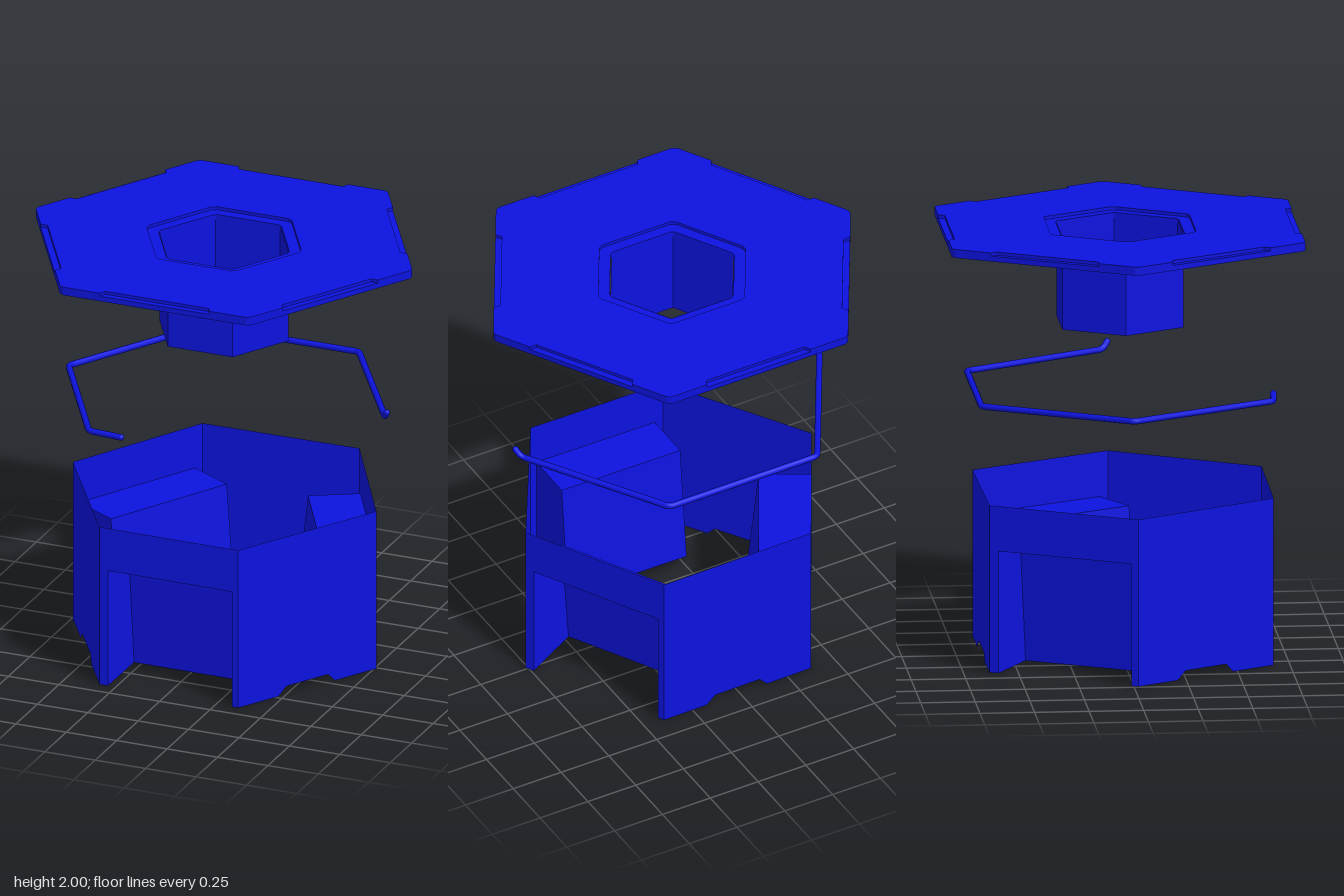
import * as THREE from 'three';

const material = new THREE.MeshStandardMaterial({ color: 0x0d13df, flatShading: true, side: THREE.DoubleSide });
const smoothMaterial = new THREE.MeshStandardMaterial({ color: 0x0d13df });

function addMesh(parent, name, geometry, mat = material) {
  const mesh = new THREE.Mesh(geometry, mat);
  mesh.name = name;
  parent.add(mesh);
  return mesh;
}

// Corner k of a hexagon with a corner on +x
function corner(radius, k) {
  const a = (k * Math.PI) / 3;
  return new THREE.Vector2(radius * Math.cos(a), radius * Math.sin(a));
}

// Hexagon outline with clipped corners and, optionally, a shallow notch in each edge
function hexPoints(radius, clip, notchInset = 0) {
  const points = [];
  for (let k = 0; k < 6; k++) {
    const a = corner(radius, k), b = corner(radius, k + 1);
    const inward = a.clone().add(b).normalize().multiplyScalar(-notchInset);
    const at = (f) => a.clone().lerp(b, f);
    points.push(at(clip));
    if (notchInset) {
      points.push(at(0.21), at(0.226).add(inward), at(0.774).add(inward), at(0.79));
    }
    points.push(at(1 - clip));
  }
  return points;
}

// Horizontal slab with a hexagonal hole, from y = bottom to y = top
function slab(outline, hole, bottom, top) {
  const shape = new THREE.Shape(outline);
  shape.holes.push(new THREE.Path(hole));
  const geometry = new THREE.ExtrudeGeometry(shape, { depth: top - bottom, bevelEnabled: false });
  return geometry.rotateX(-Math.PI / 2).translate(0, bottom, 0);
}

// Flat-sided surface from four-cornered faces
function quads(list) {
  const positions = list.flatMap(([a, b, c, d]) => [a, b, c, a, c, d].flatMap((p) => p.toArray()));
  const geometry = new THREE.BufferGeometry();
  geometry.setAttribute('position', new THREE.Float32BufferAttribute(positions, 3));
  geometry.computeVertexNormals();
  return geometry;
}

function createLid() {
  const lid = new THREE.Group();
  lid.name = 'lid';
  addMesh(lid, 'lidPlate', slab(hexPoints(0.935, 0.015), hexPoints(0.326, 0.04), 1.96, 1.985));
  addMesh(lid, 'lidTopLayer', slab(hexPoints(0.935, 0.015, 0.03), hexPoints(0.385, 0.04), 1.985, 2));
  const tube = new THREE.CylinderGeometry(0.321, 0.321, 0.435, 6, 1, true, Math.PI / 6);
  addMesh(lid, 'lidTube', tube.translate(0, 1.765, 0));
  return lid;
}

function createWire() {
  const wire = new THREE.Group();
  wire.name = 'wireRing';
  const y = 1.245, radius = 0.015;
  const points = [new THREE.Vector3(-0.22, y, 0.683)];
  for (let k = 2; k <= 5; k++) {
    const c = corner(0.771, k);
    points.push(new THREE.Vector3(c.x, y, c.y));
  }
  points.push(new THREE.Vector3(0.795, y, -0.01), new THREE.Vector3(0.812, 1.278, 0.012));

  // Straight runs joined by small rounded bends
  const path = new THREE.CurvePath();
  let start = points[0];
  for (let i = 1; i < points.length - 1; i++) {
    const p = points[i];
    const toward = (q) => p.clone().add(q.clone().sub(p).setLength(0.025));
    const before = toward(points[i - 1]), after = toward(points[i + 1]);
    path.add(new THREE.LineCurve3(start, before));
    path.add(new THREE.QuadraticBezierCurve3(before, p, after));
    start = after;
  }
  const end = points[points.length - 1];
  path.add(new THREE.LineCurve3(start, end));
  addMesh(wire, 'wire', new THREE.TubeGeometry(path, 400, radius, 10), smoothMaterial);
  for (const tip of [points[0], end]) {
    addMesh(wire, 'wireTip', new THREE.SphereGeometry(radius, 10, 8), smoothMaterial).position.copy(tip);
  }
  return wire;
}

function createBase() {
  const base = new THREE.Group();
  base.name = 'base';
  const height = 0.78, openingTop = 0.57;
  const corners = [[0.76, 0.01], [0.36, 0.68], [-0.33, 0.675], [-0.74, 0.02], [-0.375, -0.63], [0.4, -0.64]]
    .map(([x, z]) => new THREE.Vector3(x, 0, z));

  for (let k = 0; k < 6; k++) {
    // Walk each wall so that it faces outward
    const a = corners[(k + 1) % 6], b = corners[k];
    const length = a.distanceTo(b);
    const along = b.clone().sub(a).normalize();
    const up = new THREE.Vector3(0, 1, 0);
    const out = along.clone().cross(up);
    const frame = new THREE.Matrix4().makeBasis(along, up, out).setPosition(a);
    const hasPocket = k % 2 === 1;

    // Wall panel: pocket opening or small foot notch cut from the lower edge
    const cut = hasPocket
      ? [[0.955, 0], [0.955, openingTop], [0.06, openingTop], [0.06, 0]]
      : [[0.7, 0], [0.65, 0.04], [0.35, 0.04], [0.29, 0]];
    const outline = [[0, 0], [0, height], [1, height], [1, 0], ...cut]
      .map(([f, y]) => new THREE.Vector2(f * length, y));
    const panel = new THREE.ShapeGeometry(new THREE.Shape(outline)).applyMatrix4(frame);
    addMesh(base, hasPocket ? 'pocketWall' : 'plainWall', panel);

    // Pocket: level ceiling, sloping back and two sides
    if (hasPocket) {
      const p = (f, y, depth) => new THREE.Vector3(f * length, y, -depth).applyMatrix4(frame);
      const topDepth = 0.24, lowDepth = 0.3;
      const side = (f) => [p(f, 0, 0), p(f, 0, lowDepth), p(f, openingTop, topDepth), p(f, openingTop, 0)];
      const left = side(0.06), right = side(0.955);
      addMesh(base, 'pocket', quads([
        left,
        [...right].reverse(),
        [left[1], right[1], right[2], left[2]],
        [left[2], right[2], right[3], left[3]],
      ]));
    }
  }
  return base;
}

export function createModel() {
  const model = new THREE.Group();
  model.name = 'hexagonalContainer';
  model.add(createLid(), createWire(), createBase());
  return model;
}
